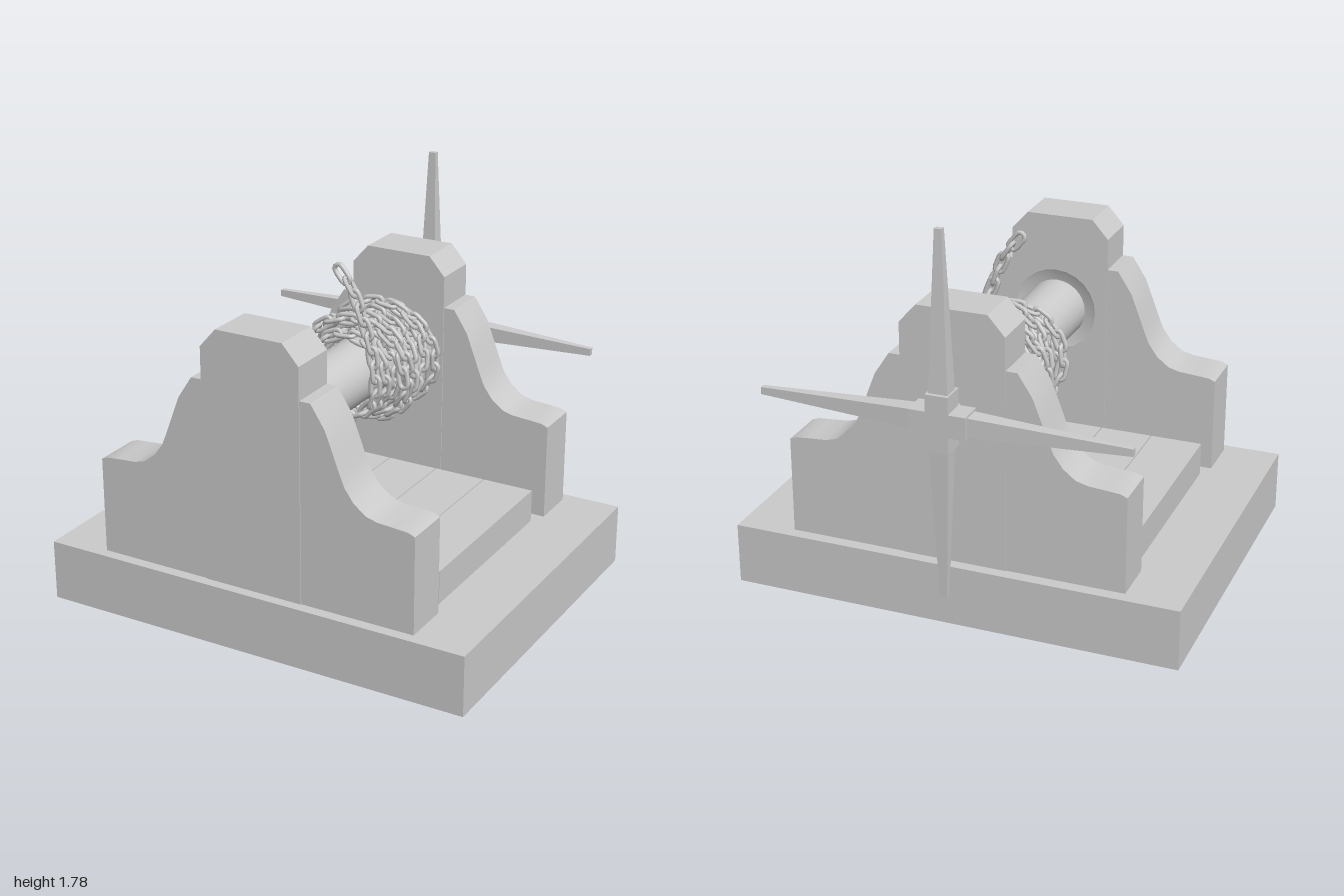
import * as THREE from 'three';
import { mergeGeometries, toCreasedNormals } from 'three/addons/utils/BufferGeometryUtils.js';

const AXIS_Y = 0.968;
const grey = new THREE.MeshStandardMaterial({ color: 0xcccccc });
const greyDouble = new THREE.MeshStandardMaterial({ color: 0xcccccc, side: THREE.DoubleSide });

function add(parent, name, geometry, x = 0, y = 0, z = 0, material = grey) {
  const mesh = new THREE.Mesh(geometry, material);
  mesh.name = name;
  mesh.position.set(x, y, z);
  parent.add(mesh);
  return mesh;
}

// Extrude an outline in x/y between two z values
function slab(points, z0, z1) {
  const shape = new THREE.Shape(points.map(([x, y]) => new THREE.Vector2(x, y)));
  const geo = new THREE.ExtrudeGeometry(shape, { depth: z1 - z0, bevelEnabled: false });
  return toCreasedNormals(geo.translate(0, 0, z0), 0.5);
}

// Chamfered centre post with a curved wing on each side
function makeSupport(name, z0, z1) {
  const g = new THREE.Group();
  g.name = name;
  add(g, 'post', slab([[-0.23, 0.27], [0.23, 0.27], [0.23, 1.315], [0.155, 1.4], [-0.155, 1.4], [-0.23, 1.315]], z0, z1));
  const wing = [[0.23, 0.27], [0.75, 0.27], [0.75, 0.705], [0.72, 0.717], [0.66, 0.722], [0.58, 0.728], [0.53, 0.742],
    [0.475, 0.785], [0.435, 0.84], [0.41, 0.9], [0.38, 0.98], [0.345, 1.07], [0.28, 1.17], [0.23, 1.17]];
  add(g, 'leftWing', slab(wing, z0 + 0.004, z1 - 0.004));
  add(g, 'rightWing', slab(wing.map(([x, y]) => [-x, y]).reverse(), z0 + 0.004, z1 - 0.004));
  return g;
}

// Flared collar where the drum meets a support; dir points towards the drum middle
function addCollar(parent, name, z, dir) {
  const profile = [[0.145, 0], [0.165, 0.018], [0.19, 0.045], [0.183, 0.042], [0.137, 0.032]];
  const geo = new THREE.LatheGeometry(profile.map(([r, h]) => new THREE.Vector2(r, h)), 24);
  geo.rotateX(dir * Math.PI / 2);
  add(parent, name, toCreasedNormals(geo, 0.5), 0, AXIS_Y, z, greyDouble);
}

// Four tapering handles on a cross-shaped hub
function makeCrank() {
  const g = new THREE.Group();
  g.name = 'crankWheel';
  g.position.set(0, AXIS_Y, -0.776);
  add(g, 'hubAcross', new THREE.BoxGeometry(0.25, 0.1, 0.11));
  add(g, 'hubUpright', new THREE.BoxGeometry(0.1, 0.25, 0.11));
  for (let i = 0; i < 4; i++) {
    const geo = new THREE.BoxGeometry(1, 0.685, 1);
    const p = geo.attributes.position;
    for (let k = 0; k < p.count; k++) {
      const tip = p.getY(k) > 0;
      p.setX(k, Math.sign(p.getX(k)) * (tip ? 0.016 : 0.042));
      p.setZ(k, Math.sign(p.getZ(k)) * (tip ? 0.012 : 0.038));
    }
    geo.translate(0, 0.465, 0);
    geo.computeVertexNormals();
    add(g, 'handle', geo).rotation.z = i * Math.PI / 2;
  }
  return g;
}

// Oval link lying along y, flat in the x/y plane
function linkGeometry() {
  const pts = [];
  for (let i = 0; i < 14; i++) {
    const a = i / 14 * Math.PI * 2;
    pts.push(new THREE.Vector3(0.021 * Math.cos(a), 0.021 * Math.sin(a) + Math.sign(Math.sin(a)) * 0.026, 0));
  }
  return new THREE.TubeGeometry(new THREE.CatmullRomCurve3(pts, true), 18, 0.0105, 6, true);
}

// Free end, then an inner winding to the back and a looser one returning
function chainPath() {
  const pts = [[0.01, 1.445], [0.055, 1.39], [0.105, 1.27], [0.15, 1.14]].map(([x, y]) => new THREE.Vector3(x, y, 0.06));
  const steps = 20, inner = 6, outer = 5;
  for (let i = 0; i <= steps * (inner + outer); i++) {
    const turn = i / steps;
    const a = -turn * Math.PI * 2;
    const back = Math.max(0, turn - inner);
    let r, z;
    if (turn < inner) {
      r = 0.172 + 0.012 * Math.sin(turn * 2.3) ** 2;
      z = 0.06 - 0.45 * turn / inner;
    } else {
      r = 0.172 + 0.063 * Math.min(1, back * 2.5) + 0.012 * Math.sin(a * 1.4);
      z = -0.39 + 0.34 * back / outer + 0.035 * Math.sin(a * 1.3) * Math.min(1, back);
    }
    pts.push(new THREE.Vector3(r * Math.cos(a), AXIS_Y + r * Math.sin(a), z));
  }
  return new THREE.CatmullRomCurve3(pts);
}

function makeChain() {
  const curve = chainPath();
  curve.arcLengthDivisions = 2000;
  const count = Math.round(curve.getLength() / 0.064);
  const link = linkGeometry();
  const links = [];
  const m = new THREE.Matrix4();
  for (let i = 0; i <= count; i++) {
    const p = curve.getPointAt(i / count);
    const along = curve.getTangentAt(i / count);
    // every second link is turned a quarter about the chain
    const side = new THREE.Vector3(0, 0, 1).addScaledVector(along, -along.z).normalize();
    const out = new THREE.Vector3().crossVectors(side, along);
    if (i % 2) m.makeBasis(side, along, out.negate().cross(new THREE.Vector3()).crossVectors(side, along));
    else m.makeBasis(out, along, side.clone().negate());
    m.setPosition(p);
    links.push(link.clone().applyMatrix4(m));
  }
  return mergeGeometries(links);
}

export function createModel() {
  const model = new THREE.Group();
  model.name = 'chainWinch';

  add(model, 'base', new THREE.BoxGeometry(2, 0.272, 1.55), 0, 0.136, 0.055);
  for (let i = 0; i < 6; i++) {
    add(model, 'plank', new THREE.BoxGeometry(0.235, 0.15, 0.89), -0.6 + i * 0.24, 0.346, 0.055);
  }

  model.add(makeSupport('frontSupport', 0.565, 0.785));
  model.add(makeSupport('backSupport', -0.67, -0.455));

  // Drum, collars and axle
  add(model, 'drum', new THREE.CylinderGeometry(0.137, 0.137, 1.04, 32).rotateX(Math.PI / 2), 0, AXIS_Y, 0.055);
  addCollar(model, 'frontCollar', 0.566, -1);
  addCollar(model, 'backCollar', -0.456, 1);
  add(model, 'axle', new THREE.CylinderGeometry(0.045, 0.045, 0.1, 20).rotateX(Math.PI / 2), 0, AXIS_Y, -0.705);

  model.add(makeCrank());
  add(model, 'chain', makeChain());
  return model;
}
